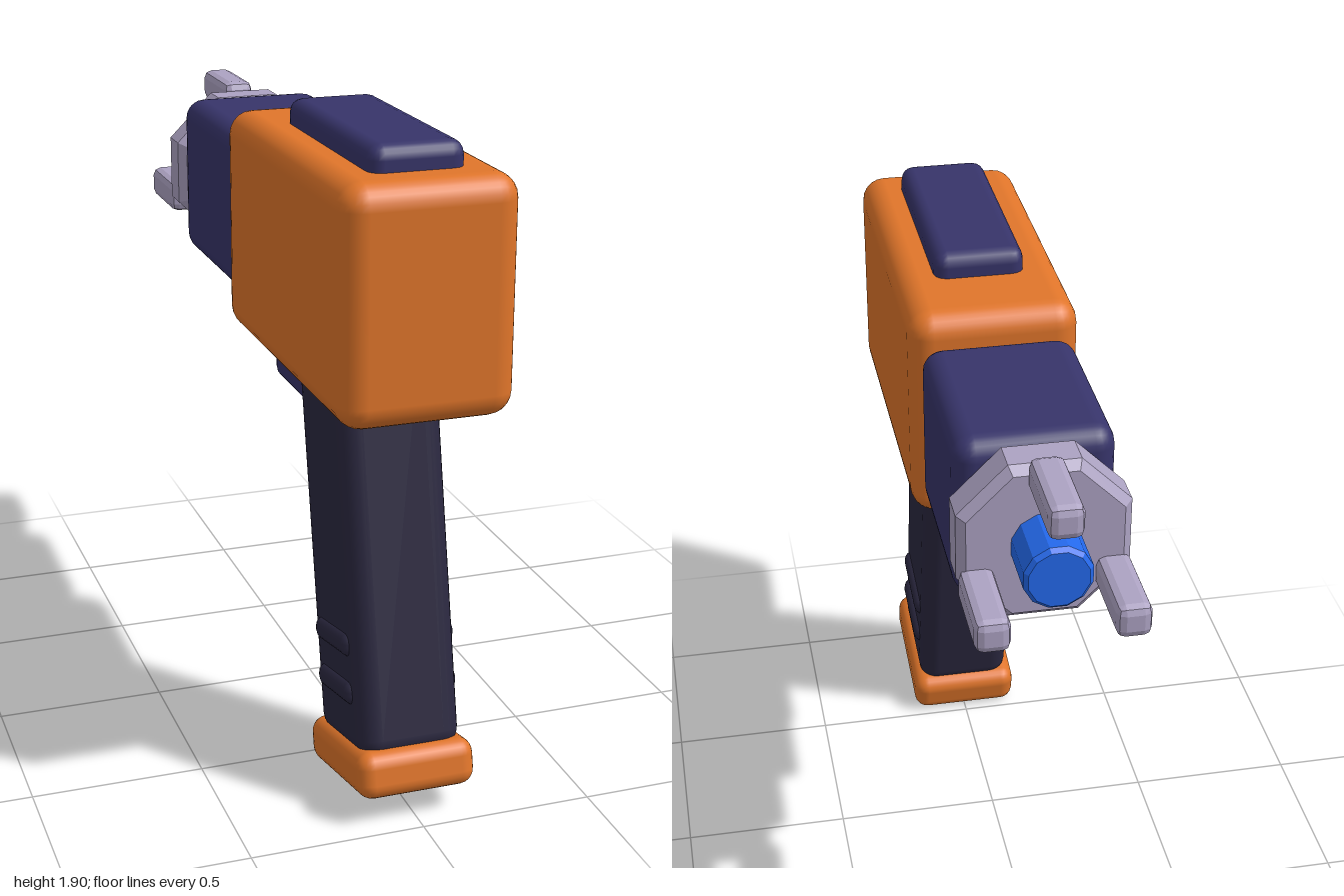
import * as THREE from 'three';
import { RoundedBoxGeometry } from 'three/addons/geometries/RoundedBoxGeometry.js';

const paint = (color, flatShading = false) => new THREE.MeshStandardMaterial({ color, flatShading });

export function createModel() {
  const model = new THREE.Group();
  model.name = 'toyBlaster';

  const orange = paint(0xe0752a);
  const navy = paint(0x37346a);
  const dark = paint(0x2b2840);
  const lilac = paint(0xaca2c2, true);
  const blue = paint(0x2469ec, true);

  const add = (name, geometry, material, x, y, z, parent = model) => {
    const mesh = new THREE.Mesh(geometry, material);
    mesh.name = name;
    mesh.position.set(x, y, z);
    parent.add(mesh);
    return mesh;
  };
  // Rounded box given by its size, edge radius and centre
  const box = (name, material, [w, h, d], r, [x, y, z], parent = model, segments = 3) =>
    add(name, new RoundedBoxGeometry(w, h, d, segments, r), material, x, y, z, parent);

  // Housing, top plate and front block
  box('body', orange, [0.49, 0.655, 1.06], 0.07, [0, 1.507, 0.47]);
  box('topPlate', navy, [0.265, 0.11, 0.695], 0.04, [0, 1.85, 0.533], model, 2);
  box('barrelBlock', navy, [0.44, 0.49, 0.57], 0.06, [0, 1.513, -0.343]);

  // Eight-sided collar and glowing core, both turned around the barrel axis
  const axisY = 1.513;
  const turned = (name, material, sides, radius, z0, z1, bevel) => {
    const profile = [
      [0, z0], [radius - bevel, z0], [radius, z0 + bevel],
      [radius, z1 - bevel], [radius - bevel, z1], [0, z1],
    ].map(([r, z]) => new THREE.Vector2(r, z));
    const geometry = new THREE.LatheGeometry(profile, sides, Math.PI / sides);
    geometry.rotateX(-Math.PI / 2);
    return add(name, geometry, material, 0, axisY, 0);
  };
  turned('collar', lilac, 8, 0.254, 0.61, 0.75, 0.025);
  turned('core', blue, 12, 0.095, 0.7, 0.92, 0.012);

  // Three prongs around the core
  for (let i = 0; i < 3; i++) {
    const a = Math.PI / 2 + (i * 2 * Math.PI) / 3;
    box('prong', lilac, [0.096, 0.096, 0.27], 0.024,
      [0.213 * Math.cos(a), axisY + 0.213 * Math.sin(a), -0.865], model, 1);
  }

  // Raked grip with its foot and side ridges
  const grip = new THREE.Group();
  grip.name = 'grip';
  grip.position.set(0, 0.108, 0.738);
  grip.rotation.x = THREE.MathUtils.degToRad(-12);
  model.add(grip);
  box('gripHandle', dark, [0.3, 1.23, 0.39], 0.06, [0, 0.645, 0], grip);
  box('gripFoot', orange, [0.345, 0.135, 0.46], 0.045, [0, 0, 0], grip);
  for (const y of [0.216, 0.354]) {
    for (const side of [-1, 1]) {
      box('gripRidge', dark, [0.07, 0.07, 0.27], 0.03, [side * 0.132, y, 0], grip, 2);
    }
  }

  // Trigger and its guard
  box('trigger', dark, [0.075, 0.18, 0.083], 0.03, [0, 1.13, 0.083], model, 2);
  box('guardBar', navy, [0.1, 0.098, 0.355], 0.035, [0, 0.994, -0.032], model, 2);
  box('guardPost', navy, [0.1, 0.255, 0.097], 0.035, [0, 1.073, -0.161], model, 2);

  return model;
}
